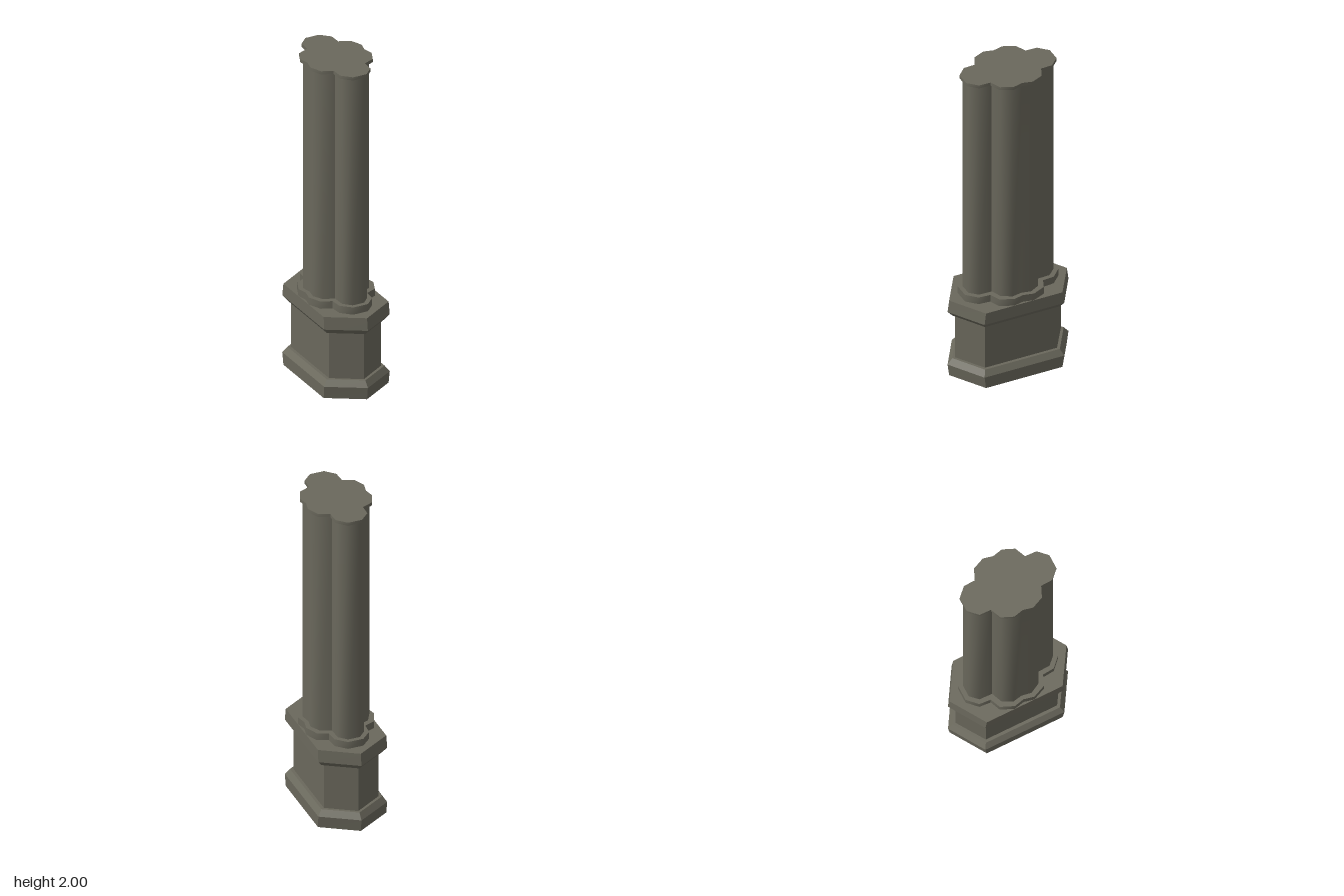
import * as THREE from 'three';
import { toCreasedNormals } from 'three/addons/utils/BufferGeometryUtils.js';

// Mirror a quarter outline of [x, z] points, listed from +z round to +x, into a closed ring
function fullRing(quarter) {
  const back = quarter.filter(([, z]) => z !== 0).reverse().map(([x, z]) => [x, -z]);
  const half = [...quarter, ...back].filter(([x, z]) => x !== 0 || z > 0);
  return [...half, ...half.map(([x, z]) => [-x, -z])];
}

// Closed solid through a stack of { y, quarter } sections
function loft(sections, crease) {
  const pos = [];
  const rings = sections.map(({ y, quarter }) => fullRing(quarter).map(([x, z]) => [x, y, z]));
  const n = rings[0].length;
  const tri = (a, b, c) => pos.push(...a, ...b, ...c);
  const top = rings.length - 1;
  for (let i = 0; i < n; i++) {
    const j = (i + 1) % n;
    for (let k = 0; k < top; k++) {
      const lo = rings[k], hi = rings[k + 1];
      tri(lo[i], lo[j], hi[j]);
      tri(lo[i], hi[j], hi[i]);
    }
    tri([0, sections[0].y, 0], rings[0][j], rings[0][i]);
    tri([0, sections[top].y, 0], rings[top][i], rings[top][j]);
  }
  const geo = new THREE.BufferGeometry();
  geo.setAttribute('position', new THREE.Float32BufferAttribute(pos, 3));
  geo.computeVertexNormals();
  return toCreasedNormals(geo, crease);
}

// Six-sided section: point depth, side half width, side corner depth
const hex = (y, point, side, corner) => ({ y, quarter: [[0, point], [side, corner]] });

export function createModel() {
  const model = new THREE.Group();
  model.name = 'clusteredColumn';
  const stone = new THREE.MeshStandardMaterial({ color: 0x6a685c });
  stone.name = 'grey stone';

  const add = (name, sections, crease) => {
    const mesh = new THREE.Mesh(loft(sections, crease), stone);
    mesh.name = name;
    model.add(mesh);
  };
  const addLobed = (name, y0, y1, quarter) =>
    add(name, [{ y: y0, quarter }, { y: y1, quarter }], 1.0);

  // Pedestal
  add('plinth', [hex(0, 0.37, 0.208, 0.24), hex(0.075, 0.38, 0.21, 0.25), hex(0.11, 0.35, 0.185, 0.235)], 0.1);
  add('pedestalBody', [hex(0.1, 0.332, 0.167, 0.226), hex(0.41, 0.332, 0.167, 0.226)], 0.1);
  add('pedestalCap', [hex(0.402, 0.35, 0.185, 0.235), hex(0.435, 0.38, 0.21, 0.25), hex(0.51, 0.37, 0.208, 0.24)], 0.1);

  // Lobed collar, shaft and top slab
  addLobed('collar', 0.505, 0.555,
    [[0.047, 0.293], [0.105, 0.236], [0.111, 0.166], [0.173, 0.14], [0.207, 0.062], [0.193, 0]]);
  addLobed('shaft', 0.55, 1.985,
    [[0.036, 0.267], [0.08, 0.222], [0.083, 0.143], [0.147, 0.117], [0.179, 0.058], [0.168, 0]]);
  addLobed('topSlab', 1.98, 2,
    [[0.043, 0.284], [0.097, 0.23], [0.1, 0.159], [0.165, 0.131], [0.196, 0.06], [0.182, 0]]);

  return model;
}
